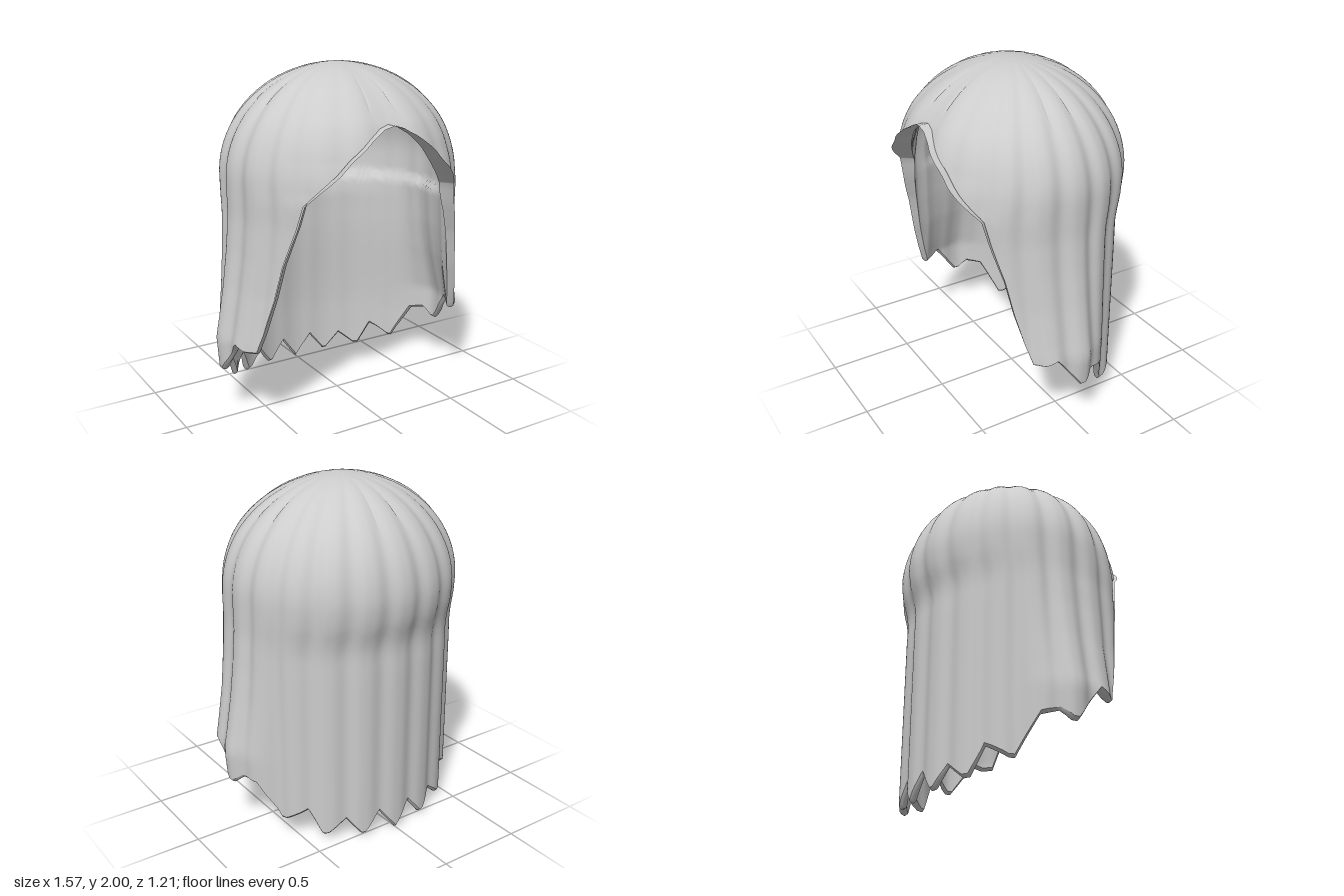
import * as THREE from 'three';

const { smoothstep, degToRad } = THREE.MathUtils;

// Piecewise-linear lookup in [key, value] pairs sorted by key
function lookup(table, k) {
  if (k <= table[0][0]) return table[0][1];
  for (let i = 1; i < table.length; i++) {
    const [k1, v1] = table[i];
    if (k <= k1) {
      const [k0, v0] = table[i - 1];
      return v0 + (v1 - v0) * (k - k0) / (k1 - k0);
    }
  }
  return table[table.length - 1][1];
}

// Outward flare of the side locks, front depth and back depth by height
const DOME_WIDTH = 0.688;
const FLARE = [[0, 0.035], [0.1, 0.035], [0.3, 0.085], [0.5, 0.1], [0.6, 0.08], [0.8, 0.045], [1, 0.018], [1.2, 0]];
const FRONT = [[0.48, 0.62], [0.8, 0.63], [1, 0.66], [1.2, 0.67], [1.33, 0.675], [1.4, 0.655], [1.55, 0.635], [1.72, 0.64], [1.86, 0.625], [2, 0.61]];
const BACK = [[0, 0.56], [1, 0.56], [1.13, 0.557], [1.2, 0.568], [1.3, 0.6], [1.4, 0.612]];

// Lower edge by angle from the back centre: jagged hem, side lock, fringe
const HEM = [
  [0, 0.015], [9, 0.15], [17, 0.035], [19, 0.035], [27, 0.14], [36, 0.06], [39, 0.06], [47, 0.21],
  [59, 0.14], [62, 0.14], [73, 0.35], [82, 0.37], [88, 0.32], [91, 0.32], [105, 0.515],
  [111, 0.49], [117, 0.49], [120, 0.6], [124, 0.8], [126, 1], [131, 1.2], [134, 1.33],
  [144, 1.43], [151, 1.5], [157, 1.57], [167, 1.66], [174, 1.705], [180, 1.72],
];
// Shell thickness, and forward reach of the fringe rim, by angle
const THICK = [[0, 0.04], [90, 0.05], [117, 0.06], [124, 0.045], [130, 0.065], [133, 0.085], [145, 0.09], [160, 0.065], [180, 0.025]];
const RIM_REACH = [[120, 0], [135, 0.015], [150, 0.035], [168, 0.035], [180, 0.06]];

const RIBS = 20, EQUATOR = 1.4, DOME = 0.6, QUARTER = DOME * Math.PI / 2;
const SLITS = [9, 81, 99, 171];

// Point on the shell at angle deg, fraction v from crown to lower edge
function shellPoint(deg, v, inner) {
  const d = Math.abs(deg), phi = degToRad(deg);
  const hem = lookup(HEM, d);
  const tEnd = hem > EQUATOR ? DOME * Math.acos((hem - EQUATOR) / DOME) : QUARTER + EQUATOR - hem;
  const t = v * tEnd;
  const onDome = t < QUARTER;
  let y = onDome ? EQUATOR + DOME * Math.cos(t / DOME) : EQUATOR + QUARTER - t;
  const swell = onDome ? Math.sin(t / DOME) : 1;
  let a = DOME_WIDTH + lookup(FLARE, y) * smoothstep(d, 58, 90);
  let b = lookup(d > 90 ? FRONT : BACK, y);
  // Broad scalloped locks, fading toward the fringe, and a shallow front parting
  let dent = ((1 - Math.cos(phi * RIBS)) / 2) ** 1.6 * (0.03 - 0.02 * smoothstep(d, 110, 165));
  if (inner) {
    // The lining steps inward below the cap, then thins to the hem
    const ledge = 0.03 * (1 - smoothstep(y, 1.23, 1.26)) * smoothstep(y, 0.3, 1) * (1 - smoothstep(d, 100, 122));
    const thick = lookup(THICK, d) + ledge;
    a -= thick;
    b -= thick;
    y -= 0.04 * (1 - v);
    dent *= 0.3;
  } else if (SLITS.some((s) => Math.abs(d - s) < 1)) {
    // Short strand slits near the crown
    dent += 0.02 * smoothstep(swell, 0.35, 0.5) * (1 - smoothstep(swell, 0.7, 0.8));
  }
  dent += 0.055 * Math.exp(-(((d - 180) / 10) ** 2));
  const r = swell * (1 - dent);
  return [a * r * Math.sin(phi), y, -b * r * Math.cos(phi)];
}

// Rim across the lower edge: rounded on the hem, reaching forward around the face
function rimPoint(deg, v) {
  const d = Math.abs(deg);
  const from = shellPoint(deg, 1, false), to = shellPoint(deg, 1, true);
  from[2] += lookup(RIM_REACH, d);
  const p = from.map((c, k) => c + (to[k] - c) * v);
  p[1] -= 0.015 * Math.sin(Math.PI * v) * (1 - smoothstep(d, 115, 125));
  return p;
}

// Grid surface from a point rule; angle runs all the way round
function gridGeometry(point, rows, flip) {
  const cols = 360, pos = [], index = [];
  for (let i = 0; i <= cols; i++) {
    for (let j = 0; j <= rows; j++) pos.push(...point(i - 180, j / rows));
  }
  for (let i = 0; i < cols; i++) {
    for (let j = 0; j < rows; j++) {
      const p = i * (rows + 1) + j, q = p + rows + 1;
      if (flip) index.push(p, p + 1, q, q, p + 1, q + 1);
      else index.push(p, q, p + 1, q, q + 1, p + 1);
    }
  }
  const g = new THREE.BufferGeometry();
  g.setAttribute('position', new THREE.Float32BufferAttribute(pos, 3));
  g.setIndex(index);
  g.computeVertexNormals();
  return g;
}

export function createModel() {
  const group = new THREE.Group();
  group.name = 'longHair';
  // Two-sided so the open fringe lip shows from above as well
  const hair = new THREE.MeshStandardMaterial({ color: 0xcccccc, side: THREE.DoubleSide });
  hair.name = 'hairGrey';

  const add = (name, geometry) => {
    const mesh = new THREE.Mesh(geometry, hair);
    mesh.name = name;
    group.add(mesh);
  };

  // Ribbed outside, smooth lining and the rim that joins them
  add('outerHair', gridGeometry((d, v) => shellPoint(d, v, false), 48, false));
  add('innerLining', gridGeometry((d, v) => shellPoint(d, v, true), 72, true));
  add('hemRim', gridGeometry(rimPoint, 6, false));

  return group;
}
